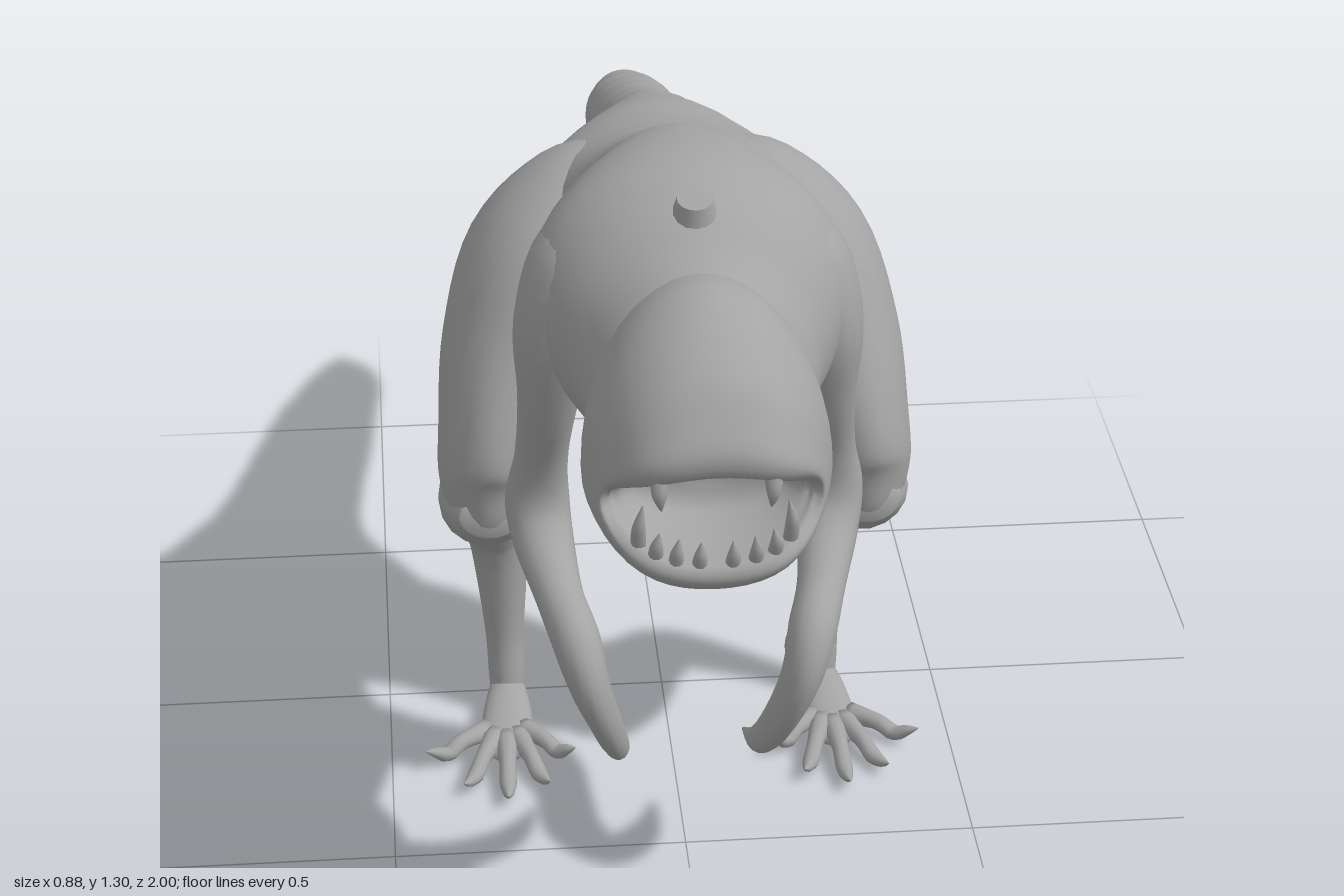
import * as THREE from 'three';

const skin = new THREE.MeshStandardMaterial({ color: 0xa4a4a4 });
skin.name = 'grey skin';

// Smooth interpolation through rows of numbers
function smoothRows(rows, steps) {
  const out = [];
  const at = i => rows[Math.max(0, Math.min(rows.length - 1, i))];
  for (let i = 0; i < rows.length - 1; i++) {
    for (let s = 0; s < steps; s++) {
      const t = s / steps;
      out.push(at(i).map((b, k) => {
        const a = at(i - 1)[k], c = at(i + 1)[k], d = at(i + 2)[k];
        return b + 0.5 * t * (c - a + t * (2 * a - 5 * b + 4 * c - d + t * (3 * (b - c) + d - a)));
      }));
    }
  }
  out.push(rows[rows.length - 1]);
  return out;
}

// Skin a list of closed rings, with both ends drawn to a point
function skinRings(name, rings) {
  const n = rings[0].length;
  const closed = ring => {
    const c = new THREE.Vector3();
    ring.forEach(p => c.addScaledVector(p, 1 / n));
    return ring.map(() => c);
  };
  const all = [closed(rings[0]), ...rings, closed(rings[rings.length - 1])];
  const pos = [], index = [];
  all.forEach(r => r.forEach(p => pos.push(p.x, p.y, p.z)));
  for (let i = 0; i < all.length - 1; i++) {
    for (let j = 0; j < n; j++) {
      const a = i * n + j, b = i * n + (j + 1) % n;
      index.push(a, b, b + n, a, b + n, a + n);
    }
  }
  const g = new THREE.BufferGeometry();
  g.setAttribute('position', new THREE.Float32BufferAttribute(pos, 3));
  g.setIndex(index);
  g.computeVertexNormals();
  const mesh = new THREE.Mesh(g, skin);
  mesh.name = name;
  return mesh;
}

// Trunk form; rows: z, top, bottom, half width, height of widest point, backward bend at sides
function trunk(name, rows, wobble = () => 0, n = 36) {
  return skinRings(name, smoothRows(rows, 5).map(([z, top, bot, w, mid, bend]) =>
    Array.from({ length: n }, (_, j) => {
      const a = (j / n) * Math.PI * 2, s = Math.sin(a);
      const x = Math.max(w, 0) * Math.cos(a);
      const y = mid + s * (s > 0 ? top - mid : mid - bot);
      return new THREE.Vector3(x, y + wobble(z, s), z - bend * x ** 4);
    })));
}

// Limb form; rows: x, y, z, sideways radius, depth radius
function limb(name, rows, side, n = 18, steps = 5) {
  const pts = smoothRows(rows, steps).map(r => ({
    c: new THREE.Vector3(side * r[0], r[1], r[2]), rx: Math.max(r[3], 0.001), rd: Math.max(r[4], 0.001) }));
  return skinRings(name, pts.map(({ c, rx, rd }, i) => {
    const t = pts[Math.min(i + 1, pts.length - 1)].c.clone().sub(pts[Math.max(i - 1, 0)].c).normalize();
    const s = new THREE.Vector3(1, 0, 0).addScaledVector(t, -t.x).normalize();
    const u = t.clone().cross(s);
    return Array.from({ length: n }, (_, j) => {
      const a = (j / n) * Math.PI * 2;
      return c.clone().addScaledVector(s, rx * Math.cos(a)).addScaledVector(u, rd * Math.sin(a));
    });
  }));
}

function ball(name, x, y, z, rx, ry, rz) {
  const m = new THREE.Mesh(new THREE.SphereGeometry(1, 20, 14), skin);
  m.name = name;
  m.position.set(x, y, z);
  m.scale.set(rx, ry, rz);
  return m;
}

export function createModel() {
  const model = new THREE.Group();
  model.name = 'creature';

  // Body and tail, with a faintly knobbly tail ridge
  const ridge = (z, s) => (z < -0.15 && z > -0.95 && s > 0 ? 0.004 * s * s * Math.sin(z * 55) : 0);
  model.add(trunk('bodyAndTail', [
    [-1, 0.79, 0.765, 0.01, 0.778, 0], [-0.97, 0.805, 0.735, 0.037, 0.77, 0],
    [-0.9, 0.835, 0.72, 0.062, 0.775, 0], [-0.75, 0.895, 0.75, 0.083, 0.82, 0],
    [-0.6, 0.95, 0.765, 0.09, 0.855, 0], [-0.4, 1.02, 0.79, 0.093, 0.9, 0],
    [-0.25, 1.085, 0.79, 0.108, 0.92, 0], [-0.1, 1.14, 0.745, 0.198, 0.93, 0],
    [0, 1.155, 0.74, 0.255, 0.945, 0], [0.1, 1.18, 0.755, 0.262, 0.98, 0],
    [0.2, 1.22, 0.8, 0.21, 1.02, 0], [0.3, 1.275, 0.845, 0.178, 1.06, 0],
    [0.4, 1.3, 0.85, 0.225, 1.09, 0], [0.5, 1.303, 0.84, 0.256, 1.09, 0],
    [0.6, 1.275, 0.845, 0.235, 1.07, 0], [0.68, 1.23, 0.845, 0.196, 1.04, 0],
    [0.76, 1.2, 0.85, 0.165, 1.0, 0], [0.82, 1.15, 0.87, 0.1, 1.0, 0]], ridge));

  // Head: outer skull, round the lips, then back into the mouth
  model.add(trunk('head', [
    [0.58, 1.15, 0.9, 0.1, 1.0, 0], [0.64, 1.19, 0.865, 0.14, 0.98, 0], [0.71, 1.215, 0.82, 0.172, 0.96, 0],
    [0.78, 1.225, 0.787, 0.188, 0.95, 0], [0.85, 1.205, 0.782, 0.192, 0.945, 15],
    [0.93, 1.155, 0.797, 0.188, 0.94, 60], [0.975, 1.1, 0.815, 0.18, 0.94, 85],
    [1.0, 1.055, 0.84, 0.17, 0.94, 105], [0.992, 1.018, 0.865, 0.156, 0.94, 150],
    [0.95, 1.015, 0.87, 0.145, 0.94, 130], [0.87, 0.99, 0.89, 0.11, 0.94, 40],
    [0.85, 0.95, 0.93, 0.02, 0.94, 0]], undefined, 48));

  // Nub on the back of the neck
  const nub = new THREE.Mesh(new THREE.CylinderGeometry(0.028, 0.055, 0.1, 14), skin);
  nub.name = 'neckNub';
  nub.position.set(0, 1.243, 0.6);
  nub.rotation.x = 0.25;
  model.add(nub);

  // Belly folds
  for (let i = 0; i < 4; i++) {
    model.add(ball('bellyFold', 0, 0.79 - 0.008 * (i % 2), -0.13 + i * 0.065, 0.12, 0.06, 0.06));
  }

  for (const side of [1, -1]) {
    const label = side > 0 ? 'left' : 'right';

    // Shoulder, arm and long curved claw
    const arm = new THREE.Group();
    arm.name = label + 'Arm';
    arm.add(limb('armAndClaw', [
      [0.11, 1.18, 0.49, 0.05, 0.07], [0.165, 1.13, 0.5, 0.085, 0.115],
      [0.21, 1.03, 0.515, 0.07, 0.1], [0.224, 0.9, 0.5, 0.05, 0.068],
      [0.235, 0.77, 0.465, 0.044, 0.043], [0.243, 0.68, 0.452, 0.053, 0.043],
      [0.235, 0.615, 0.485, 0.05, 0.043], [0.215, 0.56, 0.57, 0.04, 0.04],
      [0.193, 0.52, 0.64, 0.04, 0.045], [0.175, 0.455, 0.668, 0.034, 0.045],
      [0.15, 0.375, 0.652, 0.027, 0.04], [0.13, 0.3, 0.605, 0.022, 0.033],
      [0.115, 0.24, 0.54, 0.016, 0.022], [0.103, 0.203, 0.455, 0.003, 0.003]], side));
    arm.add(ball('wristKnob', side * 0.184, 0.487, 0.638, 0.036, 0.04, 0.036));
    model.add(arm);

    // Thigh, shin and foot
    const leg = new THREE.Group();
    leg.name = label + 'Leg';
    leg.add(limb('thigh', [
      [0.07, 1.1, 0.06, 0.04, 0.06], [0.135, 1.055, 0.085, 0.1, 0.14],
      [0.21, 0.955, 0.13, 0.135, 0.18], [0.27, 0.82, 0.19, 0.12, 0.175],
      [0.308, 0.69, 0.248, 0.092, 0.165], [0.318, 0.615, 0.28, 0.082, 0.14],
      [0.32, 0.565, 0.31, 0.06, 0.09], [0.32, 0.545, 0.315, 0.03, 0.04]], side, 24));
    leg.add(limb('shin', [
      [0.318, 0.6, 0.38, 0.05, 0.035], [0.32, 0.57, 0.28, 0.08, 0.075],
      [0.322, 0.53, 0.17, 0.076, 0.09], [0.315, 0.46, 0.095, 0.06, 0.075],
      [0.304, 0.395, 0.042, 0.056, 0.066], [0.295, 0.335, 0.024, 0.051, 0.057],
      [0.29, 0.24, 0.02, 0.043, 0.047], [0.288, 0.14, 0.026, 0.034, 0.036],
      [0.286, 0.07, 0.035, 0.033, 0.034], [0.286, 0.025, 0.04, 0.03, 0.034]], side));
    leg.add(limb('sole', [
      [0.286, 0.033, 0.01, 0.025, 0.018], [0.287, 0.034, 0.06, 0.036, 0.028],
      [0.29, 0.027, 0.13, 0.045, 0.024], [0.295, 0.022, 0.2, 0.045, 0.019],
      [0.295, 0.02, 0.24, 0.025, 0.012]], side));
    for (const [x, y, z] of [[0.44, 0.045, 0.25], [0.375, 0.035, 0.34],
      [0.3, 0.035, 0.385], [0.225, 0.035, 0.345], [0.175, 0.045, 0.26]]) {
      const bx = 0.292 + (x - 0.292) * 0.25, bz = 0.14 + (z - 0.14) * 0.2;
      leg.add(limb('toe', [
        [bx, 0.025, bz, 0.022, 0.02], [bx + (x - bx) * 0.4, 0.03, bz + (z - bz) * 0.45, 0.015, 0.015],
        [bx + (x - bx) * 0.65, 0.02, bz + (z - bz) * 0.7, 0.015, 0.014],
        [bx + (x - bx) * 0.85, y - 0.01, bz + (z - bz) * 0.88, 0.009, 0.009],
        [x, y, z, 0.001, 0.001]], side, 10, 4));
    }
    model.add(leg);

    // Teeth: one upper fang and four lower teeth on each side
    const lip = x => 0.99 - 140 * x ** 4;
    model.add(limb('upperFang', [[0.085, 1.02, lip(0.085) - 0.01, 0.015, 0.013],
      [0.085, 0.985, lip(0.085), 0.011, 0.01], [0.082, 0.957, lip(0.085) - 0.005, 0.001, 0.001]], side, 10));
    for (const [x, base, tip] of [[0.025, 0.86, 0.912], [0.06, 0.865, 0.918], [0.09, 0.875, 0.925], [0.115, 0.89, 0.965]]) {
      model.add(limb('lowerTooth', [[x, base, lip(x) - 0.01, 0.012, 0.012],
        [x, (base + tip) / 2, lip(x) + 0.004, 0.01, 0.009], [x * 0.95, tip, lip(x) + 0.008, 0.001, 0.001]], side, 10));
    }
  }
  return model;
}
